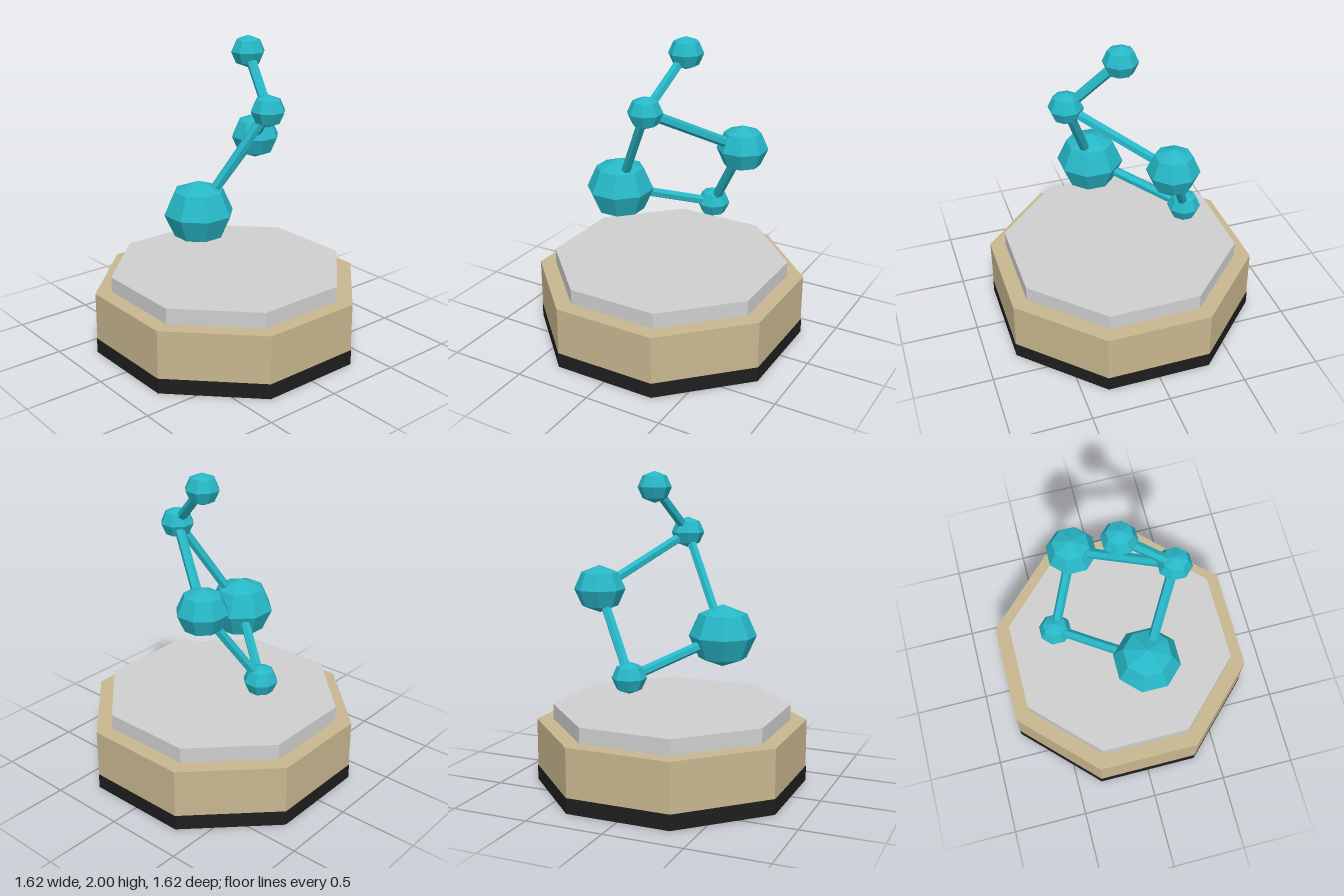
import * as THREE from 'three';

const mat = (name, color) => {
  const m = new THREE.MeshStandardMaterial({ color, flatShading: true });
  m.name = name;
  return m;
};

export function createModel() {
  const model = new THREE.Group();
  model.name = 'linkedSpheresOnPlinth';
  const tan = mat('tan', 0xc8b68f);
  const grey = mat('lightGrey', 0xcfcfcf);
  const black = mat('black', 0x1e1e1e);
  const teal = mat('teal', 0x27b7c7);

  const add = (name, geometry, material, parent = model) => {
    const mesh = new THREE.Mesh(geometry, material);
    mesh.name = name;
    parent.add(mesh);
    return mesh;
  };

  // Octagonal prism with flat sides facing the axes, sized across its flats
  const flatTurn = Math.PI / 8;
  const acrossFlats = (half) => half / Math.cos(flatTurn);
  const octagon = (name, half, y0, y1, material, open = false) => {
    const r = acrossFlats(half);
    const g = new THREE.CylinderGeometry(r, r, y1 - y0, 8, 1, open, flatTurn);
    add(name, g.translate(0, (y0 + y1) / 2, 0), material);
  };

  // Plinth: body, painted band around its foot, raised top plate
  octagon('plinthBody', 0.808, 0, 0.41, tan);
  octagon('footBand', 0.811, 0.001, 0.1, black, true);
  octagon('topPlate', 0.71, 0.41, 0.51, grey);

  // Faceted spheres: position and radius
  const nodes = {
    large: [0.1, 0.97, 0.31, 0.2],
    low: [-0.41, 0.767, -0.105, 0.1],
    medium: [-0.205, 1.27, -0.405, 0.15],
    elbow: [0.342, 1.597, -0.03, 0.1],
    top: [0.035, 1.9, -0.132, 0.1],
  };
  const sculpture = new THREE.Group();
  sculpture.name = 'sculpture';
  model.add(sculpture);
  for (const [name, [x, y, z, r]] of Object.entries(nodes)) {
    const wide = acrossFlats(1);
    const g = new THREE.SphereGeometry(r, 8, 4).rotateY(flatTurn).scale(wide, 1, wide);
    add(name + 'Sphere', g, teal, sculpture).position.set(x, y, z);
  }

  // Rods joining the spheres
  const links = [['large', 'low'], ['low', 'medium'], ['medium', 'elbow'], ['elbow', 'large'], ['elbow', 'top']];
  const up = new THREE.Vector3(0, 1, 0);
  for (const [from, to] of links) {
    const a = new THREE.Vector3(...nodes[from].slice(0, 3));
    const b = new THREE.Vector3(...nodes[to].slice(0, 3));
    const span = b.clone().sub(a);
    const rod = add(`${from}To${to}Rod`, new THREE.CylinderGeometry(0.032, 0.032, span.length(), 6), teal, sculpture);
    rod.position.copy(a).add(b).multiplyScalar(0.5);
    rod.quaternion.setFromUnitVectors(up, span.normalize());
  }
  return model;
}
